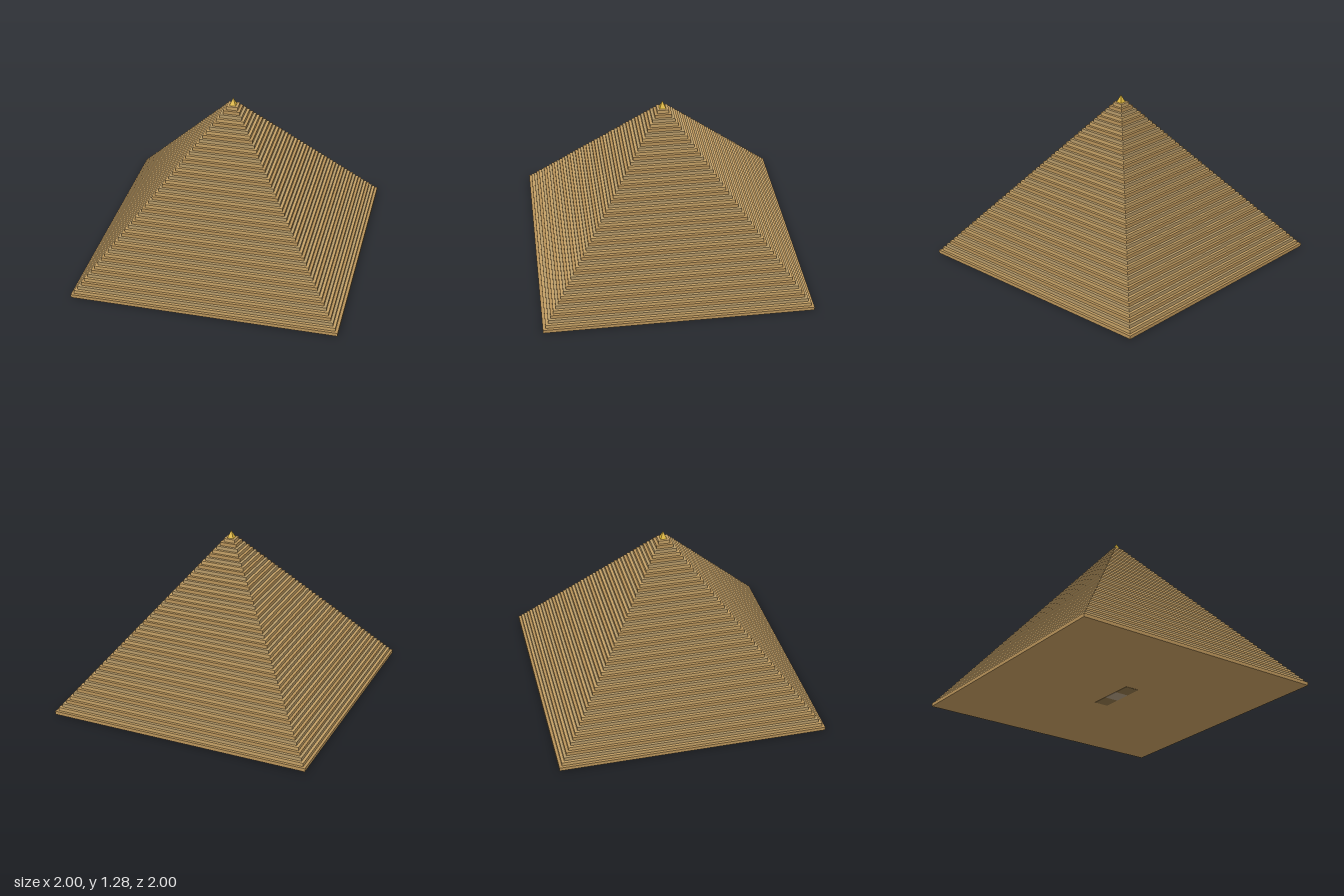
import * as THREE from 'three';

const COURSES = 47;
const STEP = 0.0208;     // inset of each course
const RISE = 0.026;      // height of each course
const BASE = 0.002;      // floor slabs lie just beneath the first course

const material = (color) => new THREE.MeshStandardMaterial({ color, flatShading: true });

function box(name, w, h, d, x, y, z, mat) {
  const mesh = new THREE.Mesh(new THREE.BoxGeometry(w, h, d), mat);
  mesh.name = name;
  mesh.position.set(x, y, z);
  return mesh;
}

export function createModel() {
  const model = new THREE.Group();
  model.name = 'steppedPyramid';

  // Stone courses, each a little smaller than the one below
  const stones = [0xb8935a, 0xc4a065, 0xb79a68].map(material);
  const courses = new THREE.Group();
  courses.name = 'stoneCourses';
  for (let i = 0; i < COURSES; i++) {
    const width = 2 * (1 - i * STEP);
    courses.add(box(`course${i + 1}`, width, RISE, width, 0, BASE + (i + 0.5) * RISE, 0, stones[i % 3]));
  }
  model.add(courses);

  // Golden four-sided capstone
  const capHeight = 0.058;
  const cap = new THREE.Mesh(new THREE.ConeGeometry(0.024 * Math.SQRT2, capHeight, 4), material(0xe0b83c));
  cap.name = 'capstone';
  cap.rotation.y = Math.PI / 4;
  cap.position.y = BASE + COURSES * RISE + capHeight / 2;
  model.add(cap);

  // Row of three floor slabs under the centre, the middle one paler
  const dark = material(0x8a6f45);
  const pale = material(0xa89478);
  for (const i of [-1, 0, 1]) {
    model.add(box('floorSlab', 0.11, BASE, 0.13, 0, BASE / 2, i * 0.13, i ? dark : pale));
  }

  return model;
}
